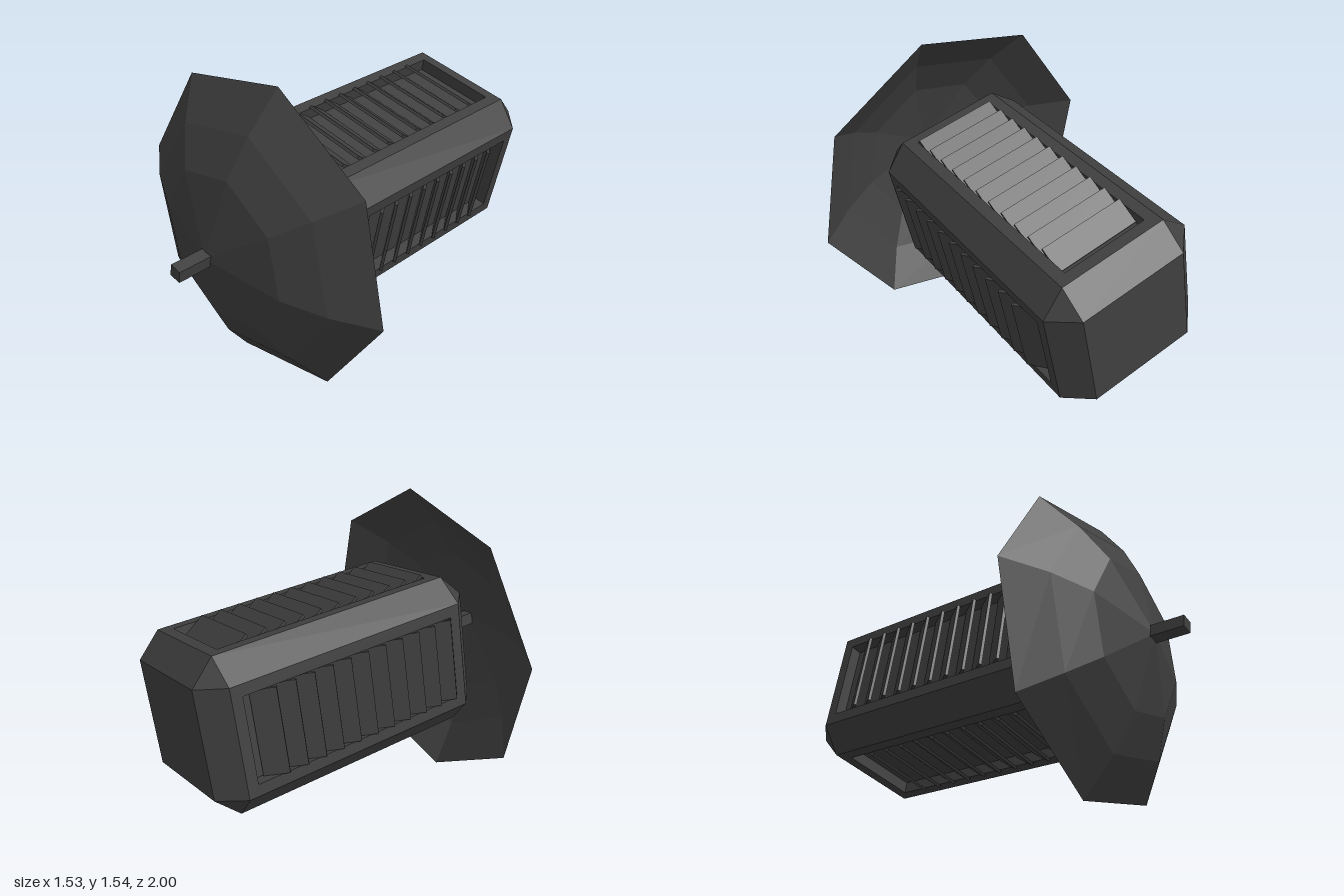
import * as THREE from 'three';

const dark = new THREE.MeshStandardMaterial({ color: 0x404040, flatShading: true });
const darkThin = new THREE.MeshStandardMaterial({ color: 0x404040, flatShading: true, side: THREE.DoubleSide });

// Chamfered body: half width H, half length L, chamfer C
const H = 0.386, L = 0.758, C = 0.116;
const A = H - C, E = L - C;
const RECESS = { w: 0.213, l: 0.587, depth: 0.06 };
const BODY_Z = -0.719;

function mesh(name, geometry, material = dark) {
  const m = new THREE.Mesh(geometry, material);
  m.name = name;
  return m;
}

// Flat convex polygons, corners counter-clockwise from outside
function polygons(list) {
  const pos = [];
  for (const p of list)
    for (let i = 1; i < p.length - 1; i++) pos.push(...p[0], ...p[i], ...p[i + 1]);
  const g = new THREE.BufferGeometry();
  g.setAttribute('position', new THREE.Float32BufferAttribute(pos, 3));
  g.computeVertexNormals();
  return g;
}

const flipZ = (p) => p.map(([x, y, z]) => [x, y, -z]).reverse();

function rectangle(PathType, w, l) {
  return new PathType([[-w, -l], [w, -l], [w, l], [-w, l]].map(([x, y]) => new THREE.Vector2(x, y)));
}

// One louvred side, built facing up
function createSide() {
  const side = new THREE.Group();
  side.name = 'louvredSide';

  // Frame around the recess
  const shape = rectangle(THREE.Shape, A, E);
  shape.holes.push(rectangle(THREE.Path, RECESS.w, RECESS.l));
  const frame = new THREE.ExtrudeGeometry(shape, { depth: RECESS.depth, bevelEnabled: false });
  frame.rotateX(-Math.PI / 2).translate(0, H - RECESS.depth, 0);
  side.add(mesh('panelFrame', frame));

  const floor = new THREE.PlaneGeometry(2 * RECESS.w, 2 * RECESS.l);
  floor.rotateX(-Math.PI / 2).translate(0, H - RECESS.depth, 0);
  side.add(mesh('recessFloor', floor));

  // Chamfers along one long edge, both ends and two corners
  const end = [[A, H, E], [-A, H, E], [-A, A, L], [A, A, L]];
  const corner = [[A, H, E], [A, A, L], [H, A, E]];
  const edge = [[A, H, E], [H, A, E], [H, A, -E], [A, H, -E]];
  side.add(mesh('chamfers', polygons([edge, end, flipZ(end), corner, flipZ(corner)])));

  // Slats rise towards the front
  const slat = new THREE.BoxGeometry(2 * RECESS.w - 0.006, 0.015, 0.122);
  for (let i = 0; i < 11; i++) {
    const s = mesh('slat', slat);
    s.position.set(0, H - 0.018, 0.52 - 0.1 * i);
    s.rotation.x = -0.61;
    side.add(s);
  }
  return side;
}

function createBody() {
  const body = new THREE.Group();
  body.name = 'body';
  for (let i = 0; i < 4; i++) {
    const side = createSide();
    side.rotation.z = i * Math.PI / 2;
    body.add(side);
  }
  const cap = [[A, A, L], [-A, A, L], [-A, -A, L], [A, -A, L]];
  body.add(mesh('endCaps', polygons([cap, flipZ(cap)])));
  body.position.z = BODY_Z;
  return body;
}

export function createModel() {
  const model = new THREE.Group();
  model.name = 'satellite';

  const craft = new THREE.Group();
  craft.name = 'craft';
  craft.add(createBody());

  // Eight-sided dish, bulging forwards
  const profile = [[0.787, 0], [0.59, 0.14], [0.393, 0.238], [0, 0.33]];
  const dish = new THREE.LatheGeometry(profile.map(([r, s]) => new THREE.Vector2(r, s)), 8);
  dish.rotateX(Math.PI / 2);
  craft.add(mesh('dish', dish, darkThin));

  // Square rod from the body through the dish
  const rod = new THREE.BoxGeometry(0.062, 0.062, 0.47);
  rod.translate(0, 0, 0.255);
  craft.add(mesh('antennaRod', rod));

  // Drifting attitude: yawed and rolled
  craft.rotation.set(0, -0.151, -0.193);
  craft.position.set(0, 0.773, 0.51);
  model.add(craft);
  return model;
}
